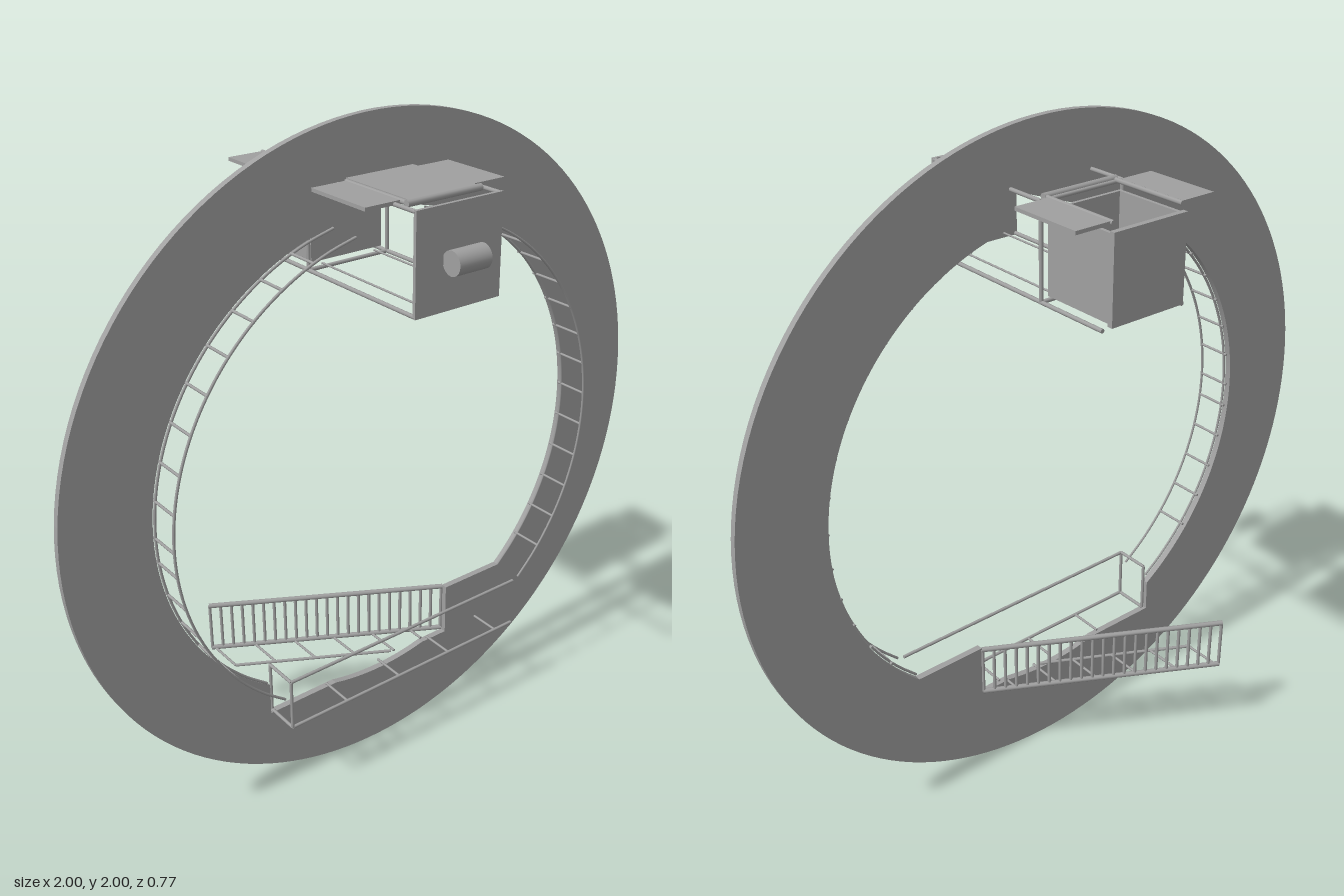
import * as THREE from 'three';

const steel = new THREE.MeshStandardMaterial({ color: 0xa0a0a0, side: THREE.DoubleSide });
steel.name = 'grey steel';
const R = 0.74;
const rad = THREE.MathUtils.degToRad;

function mesh(parent, name, geometry) {
  const m = new THREE.Mesh(geometry, steel);
  m.name = name;
  parent.add(m);
  return m;
}
function group(parent, name) {
  const g = new THREE.Group();
  g.name = name;
  parent.add(g);
  return g;
}
// Box given by its lower and upper corners
function box(parent, name, a, b) {
  const m = mesh(parent, name, new THREE.BoxGeometry(b[0] - a[0], b[1] - a[1], b[2] - a[2]));
  m.position.set((a[0] + b[0]) / 2, (a[1] + b[1]) / 2, (a[2] + b[2]) / 2);
  return m;
}
// Round bar between two points
function rod(parent, name, a, b, r = 0.005) {
  const p = new THREE.Vector3(...a), q = new THREE.Vector3(...b);
  const m = mesh(parent, name, new THREE.CylinderGeometry(r, r, p.distanceTo(q), 8));
  m.position.copy(p).add(q).multiplyScalar(0.5);
  m.quaternion.setFromUnitVectors(new THREE.Vector3(0, 1, 0), q.sub(p).normalize());
  return m;
}

// Flat ring with a notch for the cabin above and for the walkway below
function addRing(root) {
  const shape = new THREE.Shape();
  shape.absarc(0, 1, 1, 0, Math.PI * 2, false);
  const top = Math.acos(0.145 / R);
  const hole = new THREE.Path();
  hole.moveTo(-0.145, 1.83);
  hole.absarc(0, 1, R, Math.PI - top, rad(236.4), false);
  hole.lineTo(-0.41, 0.28);
  hole.absarc(0, 1, R, rad(256.6), rad(283.4), false);
  hole.lineTo(0.27, 0.28);
  hole.lineTo(0.27, 0.45);
  hole.absarc(0, 1, R, rad(-48), top, false);
  hole.lineTo(0.145, 1.83);
  hole.closePath();
  shape.holes.push(hole);
  const g = new THREE.ExtrudeGeometry(shape, { depth: 0.02, bevelEnabled: false, curveSegments: 72 });
  g.translate(0, 0, -0.01);
  mesh(root, 'ring', g);
}

// Curved ladders following the inner edge
function addLadder(root, side, low, offset) {
  const g = group(root, side > 0 ? 'leftLadder' : 'rightLadder');
  const r = R - 0.005;
  const at = (deg, z) => [side * r * Math.cos(rad(deg)), 1 + r * Math.sin(rad(deg)), z];
  for (const z of [0.108, 0.012]) {
    const pts = [];
    for (let i = 0; i <= 20; i++) pts.push(new THREE.Vector3(...at(low + (78 - low) * i / 20, z)));
    mesh(g, 'ladderRail', new THREE.TubeGeometry(new THREE.CatmullRomCurve3(pts), 60, 0.004, 6));
  }
  for (let i = 0; i < 14; i++) {
    const deg = -38.6 + 8.33 * i + (i > 4 ? offset : 0);
    rod(g, 'rung', at(deg, 0), at(deg, 0.11), 0.004);
  }
}

// Straight platform in front of the ring
function addPlatform(root) {
  const g = group(root, 'frontPlatform');
  for (const y of [0.285, 0.447]) {
    rod(g, 'platformRail', [-0.4, y, 0.108], [0.47, y, 0.108]);
    rod(g, 'endBar', [-0.4, y, 0.108], [-0.4, y, 0]);
  }
  for (const z of [0.108, 0]) rod(g, 'endPost', [-0.4, 0.285, z], [-0.4, 0.447, z]);
  for (const x of [-0.2, 0, 0.2, 0.4]) rod(g, 'platformRung', [x, 0.285, 0], [x, 0.285, 0.108], 0.004);
}

// Diagonal walkway with a slatted railing behind the ring
function addWalkway(root) {
  const g = group(root, 'diagonalWalkway');
  const zAt = x => -0.375 + (x + 0.38) * 0.365 / 0.65;
  const zInner = x => Math.min(-0.005, -0.25 + (x + 0.37) * 0.24 / 0.43);
  for (const y of [0.287, 0.445]) rod(g, 'handrail', [-0.38, y, zAt(-0.38)], [0.27, y, zAt(0.27)], 0.008);
  for (let i = 0; i <= 22; i++) {
    const x = -0.378 + 0.646 * i / 22;
    rod(g, 'slat', [x, 0.287, zAt(x)], [x, 0.445, zAt(x)], 0.005);
  }
  rod(g, 'innerRail', [-0.37, 0.285, -0.25], [0.06, 0.285, -0.01]);
  for (let i = 0; i < 6; i++) {
    const x = -0.37 + 0.11 * i;
    rod(g, 'walkwayRung', [x, 0.285, zAt(x)], [x, 0.285, zInner(x)], 0.004);
  }
}

// Hanging cabin: open frame and panel in front, open box behind
function addCabin(root) {
  const g = group(root, 'cabin');
  box(g, 'frontPanel', [-0.14, 1.56, 0.318], [0.14, 1.835, 0.328]);
  const drum = mesh(g, 'drum', new THREE.CylinderGeometry(0.033, 0.033, 0.105, 32));
  drum.rotation.z = Math.PI / 2;
  drum.position.set(0, 1.695, 0.358);

  for (const s of [-1, 1]) {
    const x = s * 0.135;
    rod(g, 'lowerBeam', [x, 1.564, 0.322], [x, 1.564, -0.365], 0.006);
    rod(g, 'innerLowerBeam', [s * 0.09, 1.575, 0.32], [s * 0.09, 1.575, -0.13], 0.003);
    rod(g, 'upperBeam', [x, 1.83, 0.322], [x, 1.83, -0.13], 0.006);
    rod(g, 'framePost', [x, 1.56, -0.13], [x, 1.83, -0.13], 0.006);
  }
  for (const y of [1.564, 1.83]) rod(g, 'crossBeam', [-0.135, y, -0.13], [0.135, y, -0.13], 0.006);

  // Open box
  const b = group(g, 'openBox');
  box(b, 'floor', [-0.12, 1.58, -0.37], [0.12, 1.59, -0.14]);
  box(b, 'backWall', [-0.12, 1.572, -0.382], [0.12, 1.815, -0.366]);
  box(b, 'innerWall', [-0.12, 1.58, -0.148], [0.12, 1.81, -0.138]);
  for (const s of [-1, 1]) {
    const w = box(b, 'sideWall', [-0.005, 1.58, -0.37], [0.005, 1.81, -0.14]);
    w.position.x = s * 0.115;
  }

  // Roof flaps opened outwards, with their hinge rods
  for (const [z0, z1] of [[0.02, 0.24], [-0.365, -0.14]]) {
    for (const s of [-1, 1]) {
      const flap = box(g, 'roofFlap', [-0.055, 1.828, z0], [0.055, 1.838, z1]);
      flap.position.x = s * 0.17;
      const end = z0 > 0 ? 0.27 : -0.12;
      rod(g, 'hingeRod', [s * 0.113, 1.834, z0 - 0.005], [s * 0.113, 1.834, end], 0.007);
    }
  }
  box(g, 'roofPlate', [-0.11, 1.834, 0.01], [0.11, 1.842, 0.265]);
  for (const z of [0.266, -0.12]) rod(g, 'roofBar', [-0.12, 1.835, z], [0.12, 1.835, z], 0.01);
  for (const z of [0.14, -0.24])
    for (const s of [-1, 1]) rod(g, 'flapHandle', [s * 0.13, 1.824, z - 0.015], [s * 0.13, 1.824, z + 0.015], 0.006);
}

export function createModel() {
  const root = new THREE.Group();
  root.name = 'ringStructure';
  addRing(root);
  addLadder(root, 1, -48, 0);
  addLadder(root, -1, -55, -2.5);
  addPlatform(root);
  addWalkway(root);
  addCabin(root);
  return root;
}
